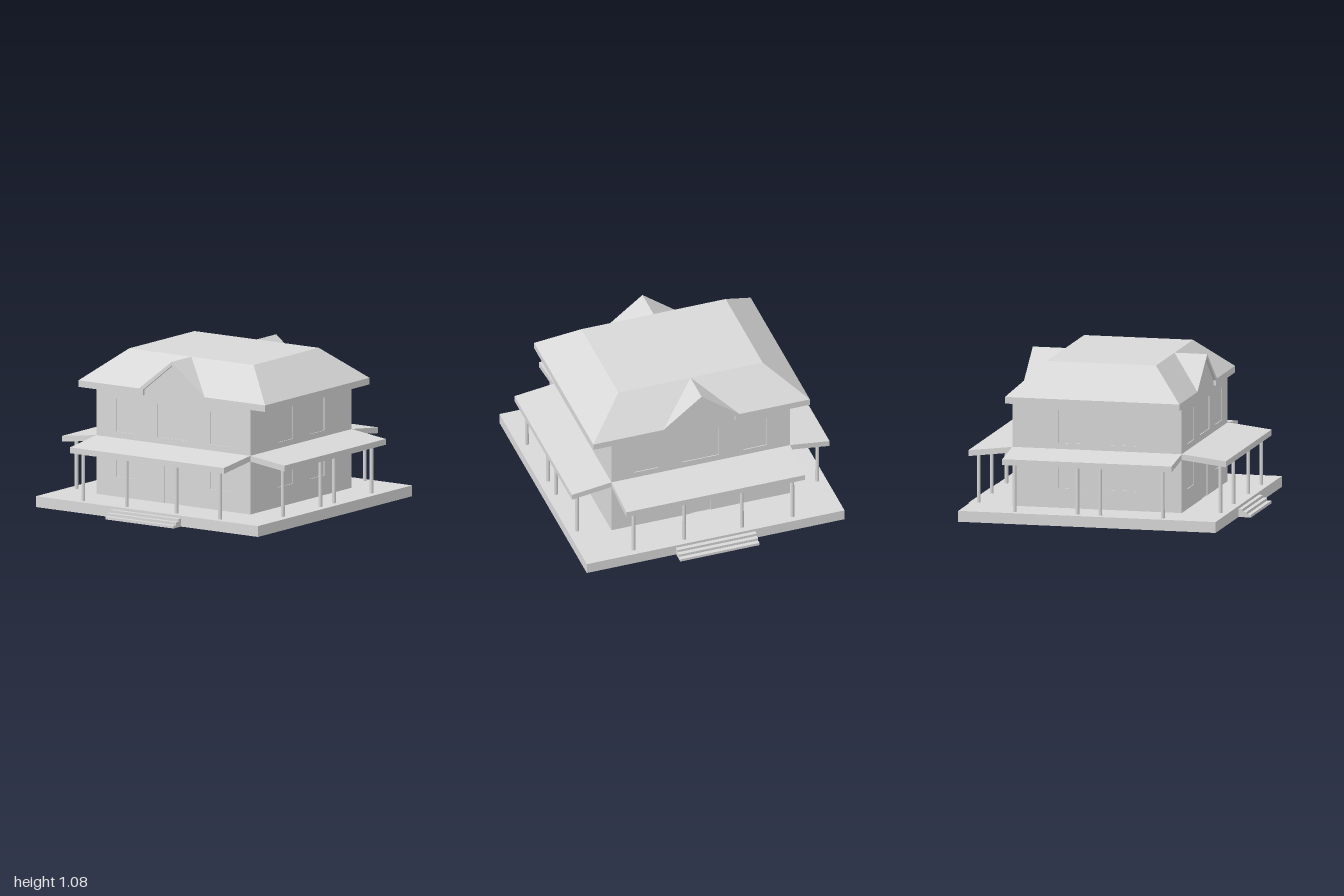
import * as THREE from 'three';

// Double sided because the deck and the stairs are open shells underneath
const paint = new THREE.MeshStandardMaterial({ color: 0xd8d8d8, side: THREE.DoubleSide });
paint.name = 'plain grey';

const HX = 0.6, HZ = 0.65;          // half size of the house body
const BX = 0.912, BZ = 0.938;       // half size of the porch deck
const DECK = 0.076, RECESS = 0.006;

function add(parent, name, geometry, x = 0, y = 0, z = 0) {
  const mesh = new THREE.Mesh(geometry, paint);
  mesh.name = name;
  mesh.position.set(x, y, z);
  parent.add(mesh);
  return mesh;
}

const shapeOf = points => new THREE.Shape(points.map(p => new THREE.Vector2(...p)));

// Deck: a box without its bottom face
function openBox(w, h, d) {
  const g = new THREE.BoxGeometry(w, h, d);
  const index = Array.from(g.index.array);
  index.splice(18, 6);
  g.setIndex(index);
  g.clearGroups();
  return g;
}

// Wall slab with openings given as [u0, u1, y0, y1]; its outside faces +z
function addWall(parent, name, outline, openings, z) {
  const shape = shapeOf(outline);
  for (const [u0, u1, y0, y1] of openings) {
    shape.holes.push(new THREE.Path([[u0, y0], [u0, y1], [u1, y1], [u1, y0]]
      .map(p => new THREE.Vector2(...p))));
    add(parent, name + 'Pane', new THREE.PlaneGeometry(u1 - u0, y1 - y0),
      (u0 + u1) / 2, (y0 + y1) / 2, z - RECESS);
  }
  add(parent, name, new THREE.ExtrudeGeometry(shape, { depth: RECESS, bevelEnabled: false }),
    0, 0, z - RECESS);
}

// Sloping slab running outward in +z from the wall
function porchRoof(halfWidth, inner, outer) {
  const profile = shapeOf([[inner, 0.447], [outer, 0.409], [outer, 0.45], [inner, 0.487]]);
  const g = new THREE.ExtrudeGeometry(profile, { depth: 2 * halfWidth, bevelEnabled: false });
  g.rotateY(-Math.PI / 2);
  g.translate(halfWidth, 0, 0);
  return g;
}

// Three treads and risers with closed cheeks, open below and behind
function addStairs(parent, name) {
  const half = 0.288, rise = 0.019, run = (1 - BX) / 3;
  const profile = [[BX, 0]];
  for (let i = 2; i >= 0; i--) {
    const outer = 1 - run * i, top = rise * (i + 1);
    add(parent, name + 'Tread', new THREE.PlaneGeometry(2 * half, run).rotateX(-Math.PI / 2),
      0, top, outer - run / 2);
    add(parent, name + 'Riser', new THREE.PlaneGeometry(2 * half, rise), 0, top - rise / 2, outer);
    profile.push([outer - run, top], [outer, top]);
  }
  profile.push([1, 0]);
  const cheek = new THREE.ShapeGeometry(shapeOf(profile)).rotateY(-Math.PI / 2);
  for (const x of [-half, half]) add(parent, name + 'Cheek', cheek, x);
}

// Hipped roof with a flat top and a gable on each side, from one mirrored quarter
function roofGeometry() {
  const ex = 0.618, ez = 0.788, low = 0.812, eave = 0.858, top = 1.075;
  const dx = 0.386, dz = 0.525, notch = 0.245, foot = 0.85, under = 1.048;
  const valley = [ex, eave, 0.277], corner = [ex, eave, ez];
  const deckCorner = [dx, top, dz], ridgeIn = [dx, top, 0], ridgeOut = [ex, top, 0];
  const quarter = [
    [[0, top, 0], [0, top, dz], deckCorner, ridgeIn],                        // flat top
    [[0, eave, ez], corner, deckCorner, [0, top, dz]],                       // end slope
    [corner, valley, ridgeIn, deckCorner],                                   // side slope
    [ridgeIn, valley, ridgeOut],                                             // gable slope
    [[0, low, ez], [ex, low, ez], corner, [0, eave, ez]],                    // end fascia
    [[ex, low, ez], [ex, low, notch], [ex, foot, notch], valley, corner],    // side fascia
    [valley, [ex, foot, notch], [ex, under, 0], ridgeOut],                   // gable edge
    [[ex, foot, notch], [HX, foot, notch], [HX, under, 0], [ex, under, 0]],  // gable underside
    [[ex, low, notch], [HX, low, notch], [HX, foot, notch], [ex, foot, notch]],
    [[0, low, notch], [ex, low, notch], [ex, low, ez], [0, low, ez]],        // soffit
  ];
  const positions = [];
  for (const sx of [1, -1]) for (const sz of [1, -1]) {
    for (const face of quarter) {
      const pts = face.map(([x, y, z]) => [x * sx, y, z * sz]);
      if (sx * sz < 0) pts.reverse();
      for (let i = 1; i < pts.length - 1; i++) positions.push(...pts[0], ...pts[i], ...pts[i + 1]);
    }
  }
  const g = new THREE.BufferGeometry();
  g.setAttribute('position', new THREE.Float32BufferAttribute(positions, 3));
  g.computeVertexNormals();
  return g;
}

export function createModel() {
  const house = new THREE.Group();
  house.name = 'house';

  add(house, 'porchDeck', openBox(2 * BX, DECK, 2 * BZ), 0, DECK / 2, 0);
  add(house, 'mainRoof', roofGeometry());

  // Openings of the end walls and the side walls
  const endOpenings = [];
  const sideOpenings = [[-0.133, 0.133, 0.532, 0.761], [-0.073, 0.073, DECK + 0.001, 0.381]];
  for (const [y0, y1] of [[0.528, 0.759], [0.214, 0.379]]) {
    endOpenings.push([-0.276, -0.098, y0, y1], [0.098, 0.276, y0, y1]);
    sideOpenings.push([-0.481, -0.31, y0 + 0.002, y1 + 0.002], [0.31, 0.481, y0 + 0.002, y1 + 0.002]);
  }
  const iz = HZ - RECESS;
  const endOutline = [[-HX, DECK], [HX, DECK], [HX, 0.815], [-HX, 0.815]];
  const sideOutline = [[-iz, DECK], [iz, DECK], [iz, 0.815], [0.245, 0.815], [0.245, 0.85],
    [0, 1.048], [-0.245, 0.85], [-0.245, 0.815], [-iz, 0.815]];

  const endRoof = porchRoof(HX, HZ, BZ);
  const sideRoof = porchRoof(HZ, HX, BX);
  const column = new THREE.CylinderGeometry(0.0125, 0.0135, 0.345, 16);
  const columnY = DECK + 0.345 / 2;

  // Front and back
  for (const [name, turn] of [['front', 0], ['back', Math.PI]]) {
    const end = new THREE.Group();
    end.name = name + 'Side';
    end.rotation.y = turn;
    house.add(end);
    addWall(end, name + 'Wall', endOutline, endOpenings, HZ);
    add(end, name + 'PorchRoof', endRoof);
    for (const x of [-0.527, -0.083, 0.079, 0.522]) add(end, name + 'Column', column, x, columnY, 0.873);
  }

  // Left and right, with entrance stairs
  for (const [name, turn] of [['left', Math.PI / 2], ['right', -Math.PI / 2]]) {
    const side = new THREE.Group();
    side.name = name + 'Side';
    side.rotation.y = turn;
    house.add(side);
    addWall(side, name + 'Wall', sideOutline, sideOpenings, HX);
    add(side, name + 'PorchRoof', sideRoof);
    for (const x of [-0.578, -0.21, 0.21, 0.578]) add(side, name + 'Column', column, x, columnY, 0.856);
    addStairs(side, name + 'Stair');
  }
  return house;
}
